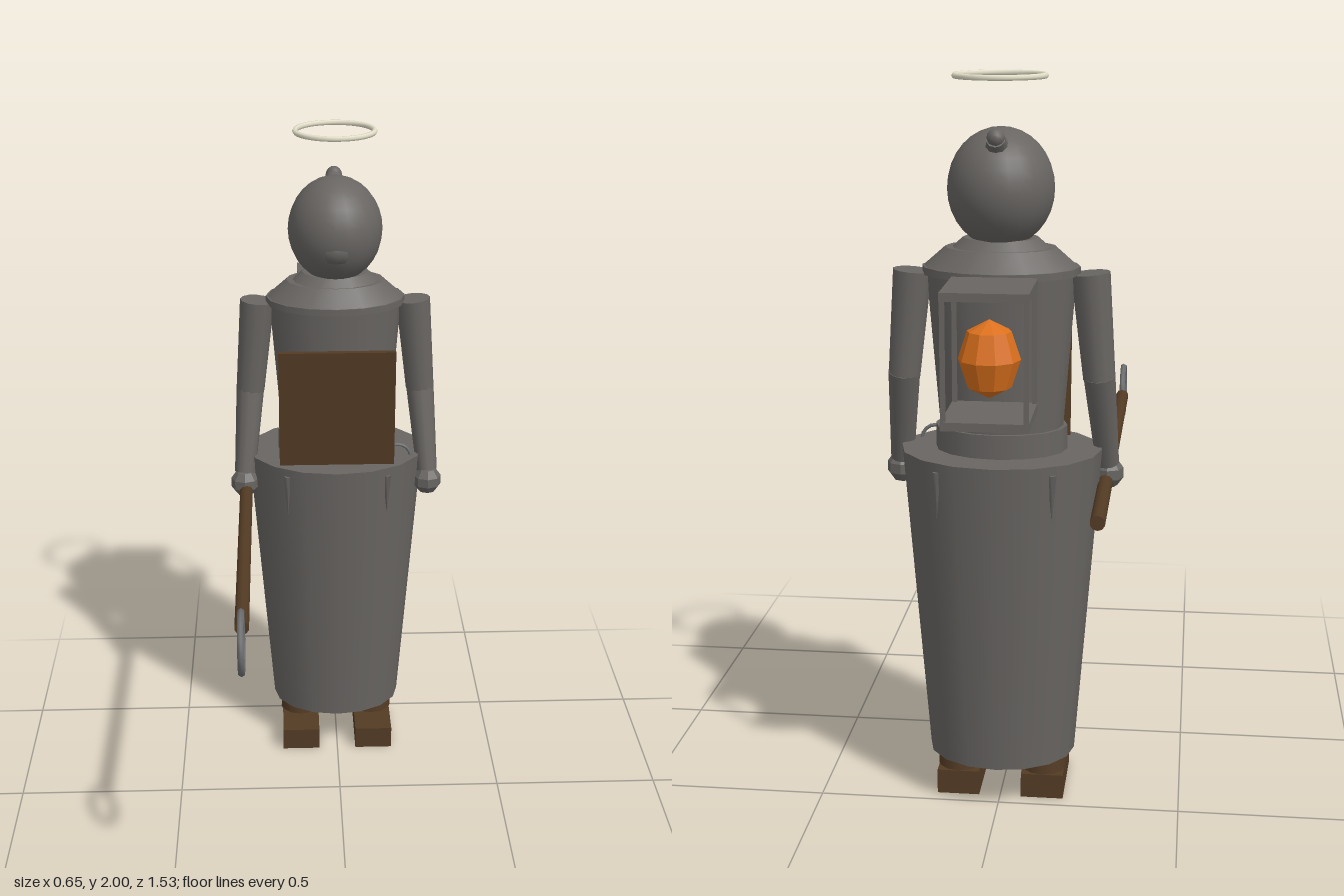
import * as THREE from 'three';

const mat = (name, color, extra = {}) => {
  const m = new THREE.MeshStandardMaterial({ color, ...extra });
  m.name = name;
  return m;
};

export function createModel() {
  const model = new THREE.Group();
  model.name = 'lanternBearer';
  const cloth = mat('greyCloth', 0x686562);
  const facetedCloth = mat('greyCloth', 0x686562, { flatShading: true });
  const wood = mat('brownWood', 0x533b24);
  const ember = mat('orangeGlow', 0xdb701c, { flatShading: true });
  const ivory = mat('ivory', 0xe6e2cc);
  const metal = mat('metal', 0x6c6e6f);
  const Z = -0.395; // body axis

  const add = (name, geo, material, x = 0, y = 0, z = 0, parent = model) => {
    const mesh = new THREE.Mesh(geo, material);
    mesh.name = name;
    mesh.position.set(x, y, z);
    parent.add(mesh);
    return mesh;
  };
  // Tapered limb between two points, r0 at a and r1 at b
  const limb = (name, a, b, r0, r1, material, sides = 12) => {
    const from = new THREE.Vector3(...a), to = new THREE.Vector3(...b);
    const dir = to.clone().sub(from);
    const mesh = add(name, new THREE.CylinderGeometry(r1, r0, dir.length(), sides), material);
    mesh.position.copy(from).add(to).multiplyScalar(0.5);
    mesh.quaternion.setFromUnitVectors(new THREE.Vector3(0, 1, 0), dir.normalize());
    return mesh;
  };
  // Oval tapered body section; depth is the z to x ratio
  const section = (name, y0, y1, r0, r1, depth) => {
    const geo = new THREE.CylinderGeometry(r1, r0, y1 - y0, 16);
    return add(name, geo.scale(1, 1, depth), cloth, 0, (y0 + y1) / 2, Z);
  };

  // Robe and torso
  section('skirt', 0.13, 1.005, 0.203, 0.272, 0.825);
  section('waistband', 0.98, 1.07, 0.178, 0.178, 0.74);
  section('torso', 1.05, 1.49, 0.165, 0.2, 0.74);
  section('capeRim', 1.48, 1.5, 0.21, 0.21, 0.73);
  section('cape', 1.5, 1.55, 0.205, 0.148, 0.73);
  section('collar', 1.54, 1.575, 0.14, 0.1, 0.8);

  // Narrow pleats at the skirt's upper edge
  for (const sx of [-1, 1]) for (const sz of [-1, 1]) {
    const pleat = add('skirtPleat', new THREE.ConeGeometry(0.012, 0.13, 4), cloth, sx * 0.152, 0.915, Z + sz * 0.178);
    pleat.rotation.x = Math.PI;
  }

  // Head with face bulge and hood tip
  add('head', new THREE.SphereGeometry(1, 24, 16).scale(0.141, 0.157, 0.153), cloth, 0, 1.705, Z);
  add('face', new THREE.SphereGeometry(1, 16, 12).scale(0.075, 0.06, 0.075), cloth, 0, 1.67, -0.318);
  limb('hoodTip', [0, 1.8, -0.46], [0, 1.84, -0.51], 0.035, 0.025, cloth, 10);
  add('hoodKnob', new THREE.SphereGeometry(0.024, 10, 8), cloth, 0, 1.842, -0.507);

  // Halo
  const halo = new THREE.TorusGeometry(0.117, 0.008, 6, 32).rotateX(Math.PI / 2);
  add('halo', halo, ivory, 0, 1.992, -0.41);

  // Arms, hands and feet
  for (const s of [-1, 1]) {
    limb('upperArm', [s * 0.236, 1.485, -0.4], [s * 0.262, 1.2, -0.4], 0.052, 0.043, cloth);
    limb('forearm', [s * 0.262, 1.21, -0.403], [s * 0.283, 0.95, -0.332], 0.043, 0.032, cloth);
    add('hand', new THREE.SphereGeometry(0.045, 8, 5), facetedCloth, s * 0.284, 0.92, -0.322);
    add('bootShaft', new THREE.CylinderGeometry(0.055, 0.064, 0.12, 12), wood, s * 0.118, 0.125, Z);
    add('bootFoot', new THREE.BoxGeometry(0.118, 0.07, 0.23), wood, s * 0.118, 0.035, -0.345);
  }

  // Leaning chest board and hip ring
  const board = add('chestBoard', new THREE.BoxGeometry(0.35, 0.41, 0.016), wood, 0, 1.172, -0.241);
  board.rotation.x = 0.085;
  add('hipRing', new THREE.TorusGeometry(0.04, 0.005, 6, 16), metal, 0.19, 1.0, -0.32);

  // Staff held forward with an end ring
  limb('staff', [-0.28, 0.903, -0.718], [-0.28, 0.903, 0.6], 0.02, 0.02, wood, 10);
  const ring = new THREE.TorusGeometry(0.079, 0.01, 6, 12).rotateY(Math.PI / 2);
  add('staffRing', ring, metal, -0.28, 0.903, 0.677);

  // Back lantern: plates, corner posts, glowing core
  const lantern = new THREE.Group();
  lantern.name = 'lantern';
  lantern.position.set(0, 1.32, -0.656);
  model.add(lantern);
  for (const s of [-1, 1]) {
    add('lanternPlate', new THREE.BoxGeometry(0.222, 0.022, 0.222), cloth, 0, s * 0.163, 0, lantern);
    for (const t of [-1, 1]) {
      add('lanternPost', new THREE.BoxGeometry(0.012, 0.33, 0.012), cloth, s * 0.104, 0, t * 0.104, lantern);
    }
  }
  add('lanternCore', new THREE.SphereGeometry(0.08, 10, 4).scale(1, 1.27, 1), ember, 0, -0.013, 0, lantern);

  return model;
}
